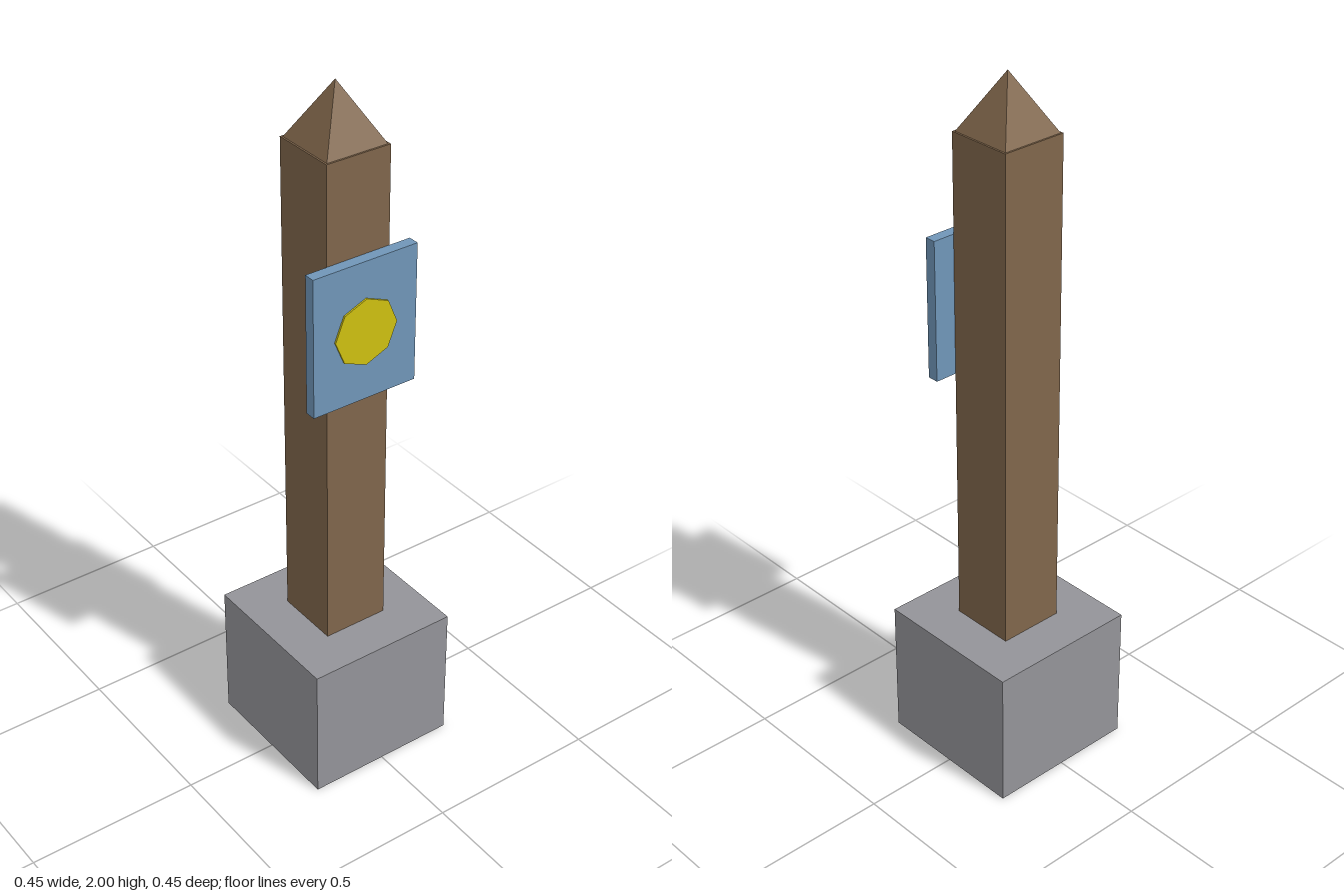
import * as THREE from 'three';

export function createModel() {
  const model = new THREE.Group();
  model.name = 'signPost';

  const material = (name, color) => {
    const m = new THREE.MeshStandardMaterial({ color, flatShading: true });
    m.name = name;
    return m;
  };
  const stone = material('stone grey', 0x949499);
  const wood = material('wood brown', 0x80664b);
  const blue = material('sign blue', 0x7096b8);
  const yellow = material('disc yellow', 0xcec011);

  const add = (name, geometry, mat, x, y, z) => {
    const mesh = new THREE.Mesh(geometry, mat);
    mesh.name = name;
    mesh.position.set(x, y, z);
    model.add(mesh);
    return mesh;
  };

  // Square stone footing
  add('base', new THREE.BoxGeometry(0.448, 0.404, 0.448), stone, 0, 0.202, 0);

  // Square wooden post, standing on the footing
  add('post', new THREE.BoxGeometry(0.192, 1.436, 0.192), wood, 0, 1.122, 0);

  // Pyramid cap, slightly narrower than the post
  const capGeometry = new THREE.ConeGeometry(0.091 * Math.SQRT2, 0.16, 4);
  capGeometry.rotateY(Math.PI / 4);
  add('cap', capGeometry, wood, 0, 1.92, 0);

  // Sign board on the front of the post
  add('signBoard', new THREE.BoxGeometry(0.32, 0.4, 0.032), blue, 0, 1.364, 0.112);

  // Thin octagonal disc on the board
  const discGeometry = new THREE.CylinderGeometry(0.096, 0.096, 0.005, 8);
  discGeometry.rotateX(Math.PI / 2);
  add('disc', discGeometry, yellow, 0, 1.364, 0.1305);

  return model;
}
